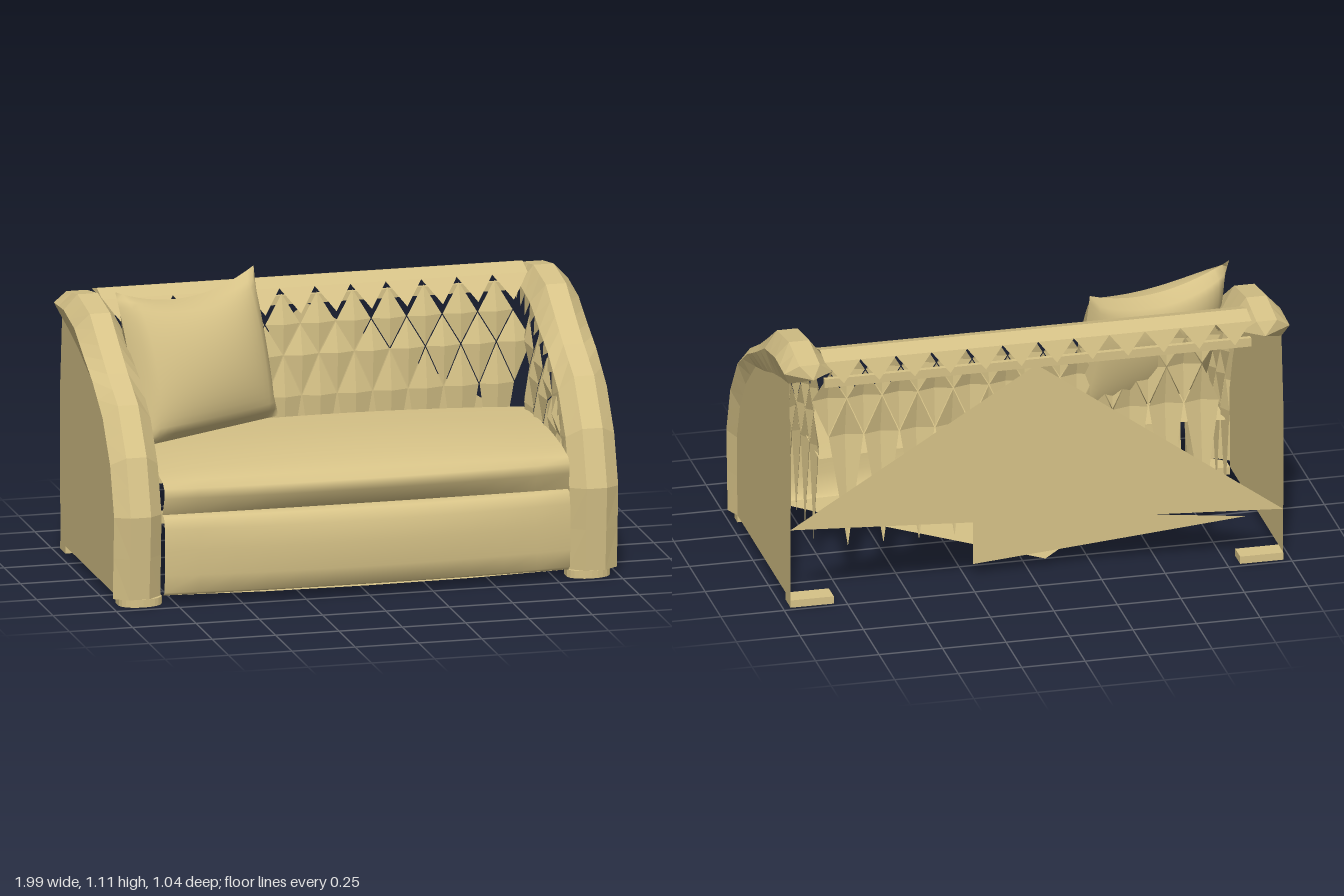
import * as THREE from 'three';

const fabric = new THREE.MeshStandardMaterial({ color: 0xd6c287, side: THREE.DoubleSide });
fabric.name = 'tan fabric';

const lerp = THREE.MathUtils.lerp;

function addMesh(parent, name, geometry) {
  const mesh = new THREE.Mesh(geometry, fabric);
  mesh.name = name;
  parent.add(mesh);
  return mesh;
}

// Faceted geometry from a list of corner triples
function facets(triangles) {
  const g = new THREE.BufferGeometry();
  g.setAttribute('position', new THREE.Float32BufferAttribute(triangles.flat(2), 3));
  g.computeVertexNormals();
  return g;
}

// Sheet whose points come from fn(u, v), u and v in 0..1
function sheet(fn, nu, nv, flip = false) {
  const g = new THREE.PlaneGeometry(1, 1, nu, nv);
  const p = g.attributes.position;
  for (let i = 0; i < p.count; i++) p.setXYZ(i, ...fn(p.getX(i) + 0.5, 0.5 - p.getY(i)));
  if (flip) g.index.array.reverse();
  g.computeVertexNormals();
  return g;
}

// Point on a polyline of [a, b] pairs; t in 0..1
function along(points, t) {
  const f = t * (points.length - 1);
  const i = Math.min(Math.floor(f), points.length - 2);
  return points[i].map((a, k) => lerp(a, points[i + 1][k], f - i));
}

// Padded diamonds in staggered rows, ending in long tapered tails
function tufting(first, count, place) {
  const step = 0.14;
  const tris = [];
  const rows = [[1.0, 0.88, 0.76, 0], [0.88, 0.76, 0.6, 0.5], [0.76, 0.6, 0.15, 0]];
  for (const [top, side, bottom, shift] of rows) {
    for (let k = 0; k < count; k++) {
      const s = first + (k + shift) * step;
      const w = step * 0.485;
      const ring = [place(s, top - 0.004, 0), place(s - w, side, 0),
        place(s, bottom + 0.004, 0), place(s + w, side, 0)];
      const apex = place(s, side, 0.02);
      ring.forEach((p, i) => tris.push([p, ring[(i + 1) % 4], apex]));
    }
  }
  return facets(tris);
}

// Side panel edge and roll crest as [z, y] stations, front foot to back
const edge = [[0.37, 0.03], [0.38, 0.35], [0.33, 0.5], [0.24, 0.63], [0.08, 0.77],
  [-0.06, 0.81], [-0.2, 0.86], [-0.33, 0.895], [-0.45, 0.92]];
const crest = [[0.463, 0.03], [0.49, 0.36], [0.42, 0.58], [0.29, 0.755], [0.13, 0.84],
  [0.0, 0.92], [-0.14, 1.01], [-0.33, 1.04], [-0.5, 1.01]];

function edgeHeight(z) {
  for (let i = 1; i < edge.length - 1; i++) {
    const [a, b] = [edge[i], edge[i + 1]];
    if (z <= a[0] && z >= b[0]) return lerp(a[1], b[1], (a[0] - z) / (a[0] - b[0]));
  }
  return z > 0 ? 0.35 : 0.92;
}

function buildArm(side) {
  const arm = new THREE.Group();
  arm.name = side > 0 ? 'leftArm' : 'rightArm';

  // Flat outer panel
  const outline = [...edge, [-0.485, 0.6], [-0.475, 0.03]];
  const panel = new THREE.ShapeGeometry(new THREE.Shape(outline.map(([z, y]) => new THREE.Vector2(-z, y))));
  panel.rotateY(Math.PI / 2);
  panel.translate(0.97, 0, 0);
  if (side < 0) {
    panel.scale(-1, 1, 1);
    panel.index.array.reverse();
    panel.computeVertexNormals();
  }
  addMesh(arm, 'outerPanel', panel);

  // Arched roll over the arm; [x, share of crest] across the section
  const section = [[0.97, 0], [0.995, 0.6], [0.94, 1], [0.86, 1], [0.805, 0.5]];
  const point = (t, v) => {
    const [x, m] = along(section, v);
    const [a, b] = [along(edge, t), along(crest, t)];
    return [side * x, lerp(a[1], b[1], m), lerp(a[0], b[0], m)];
  };
  const roll = sheet(point, 16, 4, side > 0).toNonIndexed();
  roll.computeVertexNormals();
  addMesh(arm, 'armRoll', roll);

  // Pleats on the inner edge of the roll, and its gathered rear end
  const pleats = [];
  for (let i = 0; i < 16; i++) {
    const [z, y] = along(edge, (i + 0.5) / 16);
    pleats.push([point(i / 16, 1), point((i + 1) / 16, 1), [side * 0.8, y, z]]);
  }
  for (let i = 0; i < 4; i++) {
    pleats.push([point(1, i / 4), point(1, (i + 1) / 4), [side * 0.89, 0.955, -0.52]]);
  }
  addMesh(arm, 'armPleats', facets(pleats));

  // Tufted inner face, shortened to follow the arm
  addMesh(arm, 'innerTufting', tufting(-0.2, 4, (z, y, out) => {
    const top = edgeHeight(z) + 0.02;
    return [side * (0.81 - out), 0.15 + (y - 0.15) * (top - 0.15) / 0.85, z];
  }));

  // Feet, the front one rounded
  const front = new THREE.Shape();
  front.moveTo(-0.085, -0.37);
  front.lineTo(-0.085, -0.42);
  front.quadraticCurveTo(-0.07, -0.465, 0, -0.468);
  front.quadraticCurveTo(0.07, -0.465, 0.085, -0.42);
  front.lineTo(0.085, -0.37);
  const frontFoot = new THREE.ExtrudeGeometry(front, { depth: 0.03, bevelEnabled: false, curveSegments: 5 });
  frontFoot.rotateX(-Math.PI / 2);
  frontFoot.translate(side * 0.885, 0, 0);
  addMesh(arm, 'frontFoot', frontFoot);
  addMesh(arm, 'backFoot', new THREE.BoxGeometry(0.17, 0.03, 0.08)).position.set(side * 0.885, 0.015, -0.44);
  return arm;
}

// Sheet across the seat with a bowed front; profile of [z, y]
function bowed(profile) {
  return sheet((u, v) => {
    const x = lerp(-0.8, 0.8, u);
    const [z, y] = along(profile, v);
    const q = (x / 0.8) ** 2;
    return [x, y - 0.025 * q * Math.max(0, (y - 0.45) / 0.09), z - 0.5 * q * Math.max(0, z - 0.42)];
  }, 12, profile.length - 1);
}

function buildBack() {
  const back = new THREE.Group();
  back.name = 'back';
  addMesh(back, 'backTufting', tufting(-0.7, 11, (x, y, out) =>
    [x, y, -0.31 + 0.04 * Math.min(1, (1 - y) / 0.3) + out - (y < 0.5 ? 0.03 : 0)]));

  // Top roll with pleated edges
  const profile = [[-0.5, 1.015], [-0.42, 1.035], [-0.34, 1.01]];
  const roll = sheet((u, v) => {
    const [z, y] = along(profile, v);
    return [lerp(-0.84, 0.84, u), y, z];
  }, 12, 2).toNonIndexed();
  roll.computeVertexNormals();
  addMesh(back, 'topRoll', roll);

  const pleats = [];
  for (let i = 0; i < 12; i++) {
    const x = -0.84 + i * 0.14;
    pleats.push([[x, 1.01, -0.34], [x + 0.07, 0.92, -0.28], [x + 0.14, 1.01, -0.34]]);
    pleats.push([[x, 1.015, -0.5], [x + 0.14, 1.015, -0.5], [x + 0.07, 0.93, -0.52]]);
  }
  addMesh(back, 'rollPleats', facets(pleats));
  addMesh(back, 'rearRail', new THREE.BoxGeometry(1.68, 0.035, 0.02)).position.set(0, 0.925, -0.485);

  // Partial rear covering, one piece on the frame and one hanging behind the tufting
  addMesh(back, 'rearPanel', facets([
    [[0.97, 0.32, -0.475], [-0.97, 0.21, -0.475], [0, 0.91, -0.475]],
    [[0.22, 0.27, -0.35], [0.22, 0.05, -0.35], [-0.86, 0.13, -0.33]],
  ]));
  return back;
}

// Soft cushion stretched between four corners
function buildPillow() {
  const pillow = new THREE.Group();
  pillow.name = 'throwPillow';
  const [tl, tr] = [[-0.85, 1.1, -0.1], [-0.245, 1.11, -0.33]];
  const [bl, br] = [[-0.79, 0.525, 0.06], [-0.18, 0.545, -0.2]];
  const normal = [0.36, 0.2, 0.91];
  const half = (sign) => sheet((u, v) => {
    const [a, b] = [1 - (2 * u - 1) ** 2, 1 - (2 * v - 1) ** 2];
    const pu = lerp(u, 0.5, 0.04 * b);
    const pv = v + 0.12 * a * (1 - v) ** 2;
    const puff = sign * 0.135 * Math.pow(a * b, 0.45);
    return normal.map((n, k) => lerp(lerp(tl[k], tr[k], pu), lerp(bl[k], br[k], pu), pv) + n * puff);
  }, 20, 20, sign < 0);
  addMesh(pillow, 'pillowFront', half(1));
  addMesh(pillow, 'pillowBack', half(-1));
  return pillow;
}

export function createModel() {
  const sofa = new THREE.Group();
  sofa.name = 'sofa';
  addMesh(sofa, 'seatCushion', bowed([[-0.25, 0.525], [0, 0.54], [0.2, 0.535], [0.35, 0.515],
    [0.45, 0.49], [0.495, 0.46], [0.5, 0.42], [0.44, 0.35]]));
  addMesh(sofa, 'frontPanel', bowed([[0.44, 0.35], [0.49, 0.345], [0.515, 0.3], [0.522, 0.22],
    [0.518, 0.12], [0.5, 0.05], [0.46, 0.035]]));

  // Partial cover under the seat, [x, z] outline
  const underside = [[0.8, 0.44], [0.56, 0.21], [-0.07, -0.33], [-0.8, 0.44], [-0.4, 0.475], [0, 0.485], [0.4, 0.475]];
  const cover = new THREE.ShapeGeometry(new THREE.Shape(underside.map(([x, z]) => new THREE.Vector2(x, z))));
  cover.rotateX(Math.PI / 2);
  addMesh(sofa, 'undersideCover', cover).position.y = 0.035;

  sofa.add(buildBack(), buildArm(1), buildArm(-1), buildPillow());
  return sofa;
}
